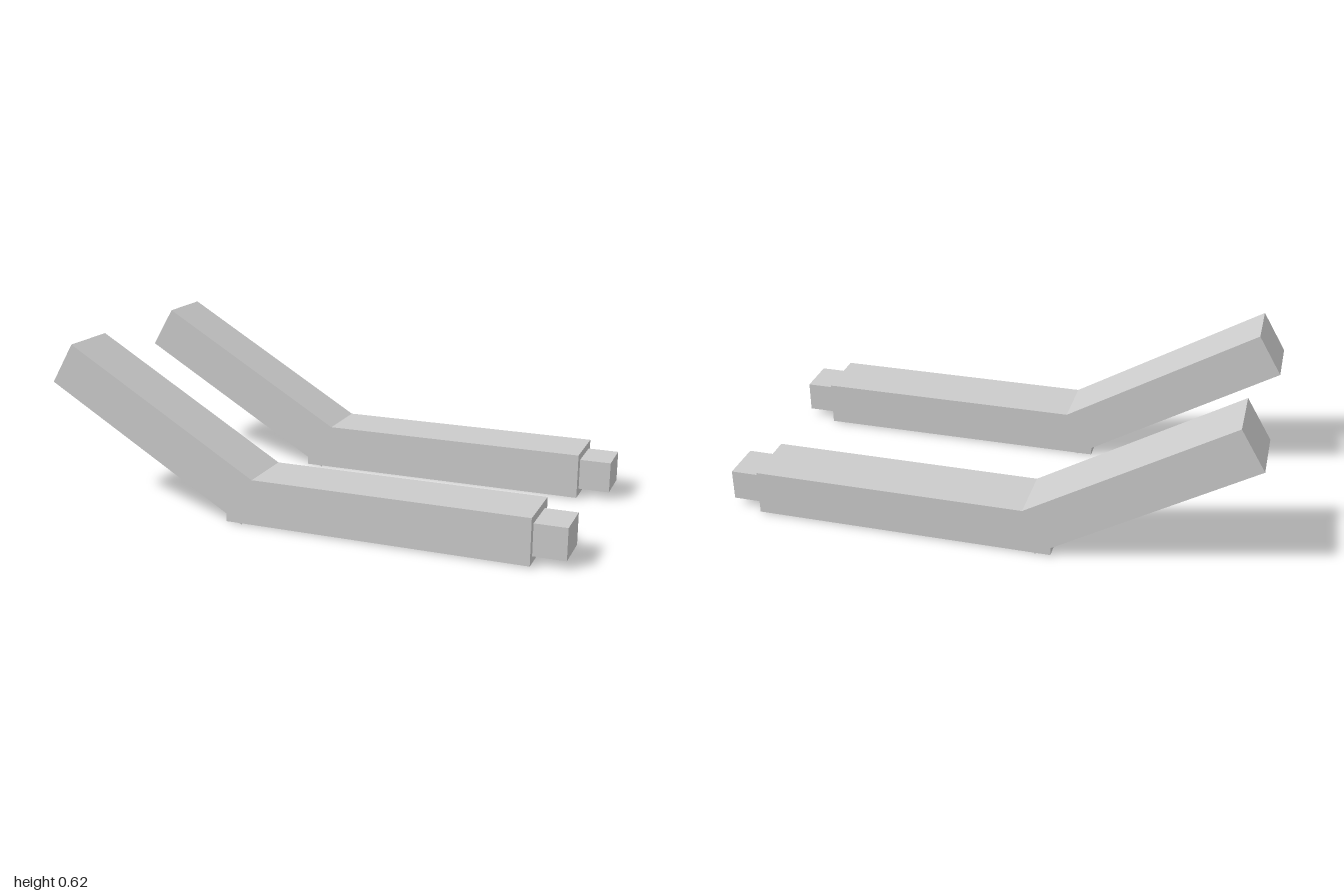
import * as THREE from 'three';

const material = new THREE.MeshStandardMaterial({ color: 0xcccccc, flatShading: true });

function box(name, width, height, depth, x, y, z) {
  const mesh = new THREE.Mesh(new THREE.BoxGeometry(width, height, depth), material);
  mesh.name = name;
  mesh.position.set(x, y, z);
  return mesh;
}

// One bent bar: level beam, raised arm and end peg
function createBar(name, side) {
  const bar = new THREE.Group();
  bar.name = name;

  bar.add(box('levelBeam', 1.15, 0.174, 0.23, 0.306, 0.092, 0));
  bar.add(box('endPeg', 0.14, 0.119, 0.163, 0.93, 0.091, side * 0.004));

  // Raised arm slopes up to -x; its lower corner just reaches the ground
  const angle = THREE.MathUtils.degToRad(30.7);
  const length = 0.92, thickness = 0.178;
  const arm = box('raisedArm', length, thickness, 0.23, 0, 0, 0);
  arm.geometry.translate(length / 2, thickness / 2, 0);
  arm.position.set(-1, 0.47, 0);
  arm.rotation.z = -angle;
  bar.add(arm);

  bar.position.z = side * 0.375;
  return bar;
}

export function createModel() {
  const model = new THREE.Group();
  model.name = 'bentBarPair';
  model.add(createBar('frontBar', 1), createBar('backBar', -1));
  return model;
}
